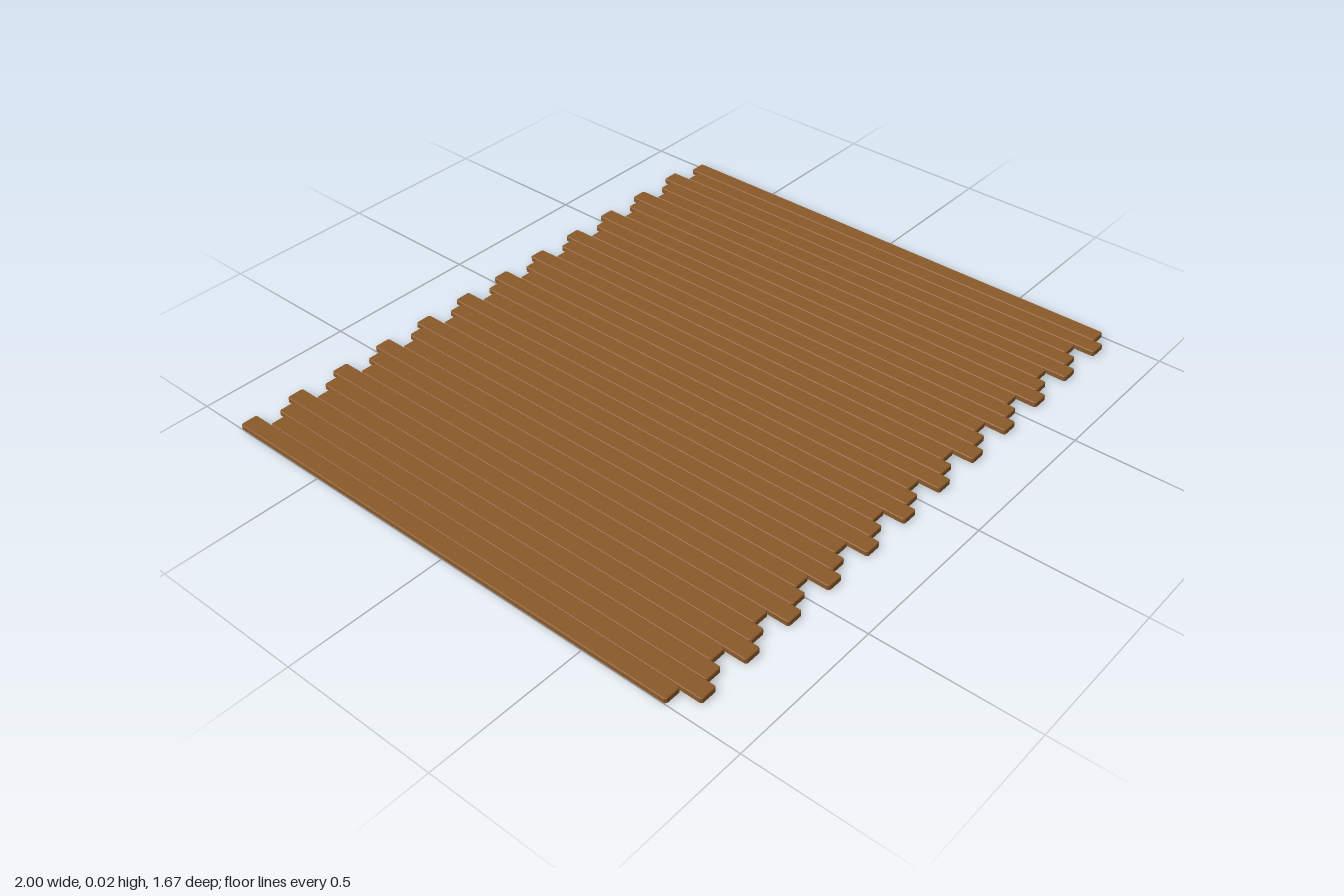
import * as THREE from 'three';

const COUNT = 36;            // planks side by side
const PITCH = 2 / COUNT;     // width of one plank
const LENGTH = 1.61;
const HEIGHT = 0.018;
const BEVEL = 0.002;
const SHIFTS = [-0.032, 0.032, 0]; // repeating stagger of the plank ends

// One plank: outline with clipped corners, extruded upwards with a thin bevel
function plankGeometry() {
  const w = PITCH / 2 - BEVEL - 0.0002;
  const l = LENGTH / 2 - BEVEL;
  const c = 0.004;
  const outline = new THREE.Shape([
    [w, -l + c], [w, l - c], [w - c, l], [-w + c, l],
    [-w, l - c], [-w, -l + c], [-w + c, -l], [w - c, -l],
  ].map(([x, y]) => new THREE.Vector2(x, y)));
  const geometry = new THREE.ExtrudeGeometry(outline, {
    depth: HEIGHT - 2 * BEVEL,
    bevelEnabled: true,
    bevelThickness: BEVEL,
    bevelSize: BEVEL,
    bevelSegments: 1,
  });
  geometry.rotateX(-Math.PI / 2);
  geometry.translate(0, BEVEL, 0);
  return geometry;
}

export function createModel() {
  const floor = new THREE.Group();
  floor.name = 'plankFloor';
  const wood = new THREE.MeshStandardMaterial({ color: 0x8b5a2b, flatShading: true });
  const geometry = plankGeometry();

  // Row of staggered planks
  for (let i = 0; i < COUNT; i++) {
    const plank = new THREE.Mesh(geometry, wood);
    plank.name = `plank${i + 1}`;
    plank.position.set(-1 + (i + 0.5) * PITCH, 0, SHIFTS[i % 3]);
    floor.add(plank);
  }
  return floor;
}
